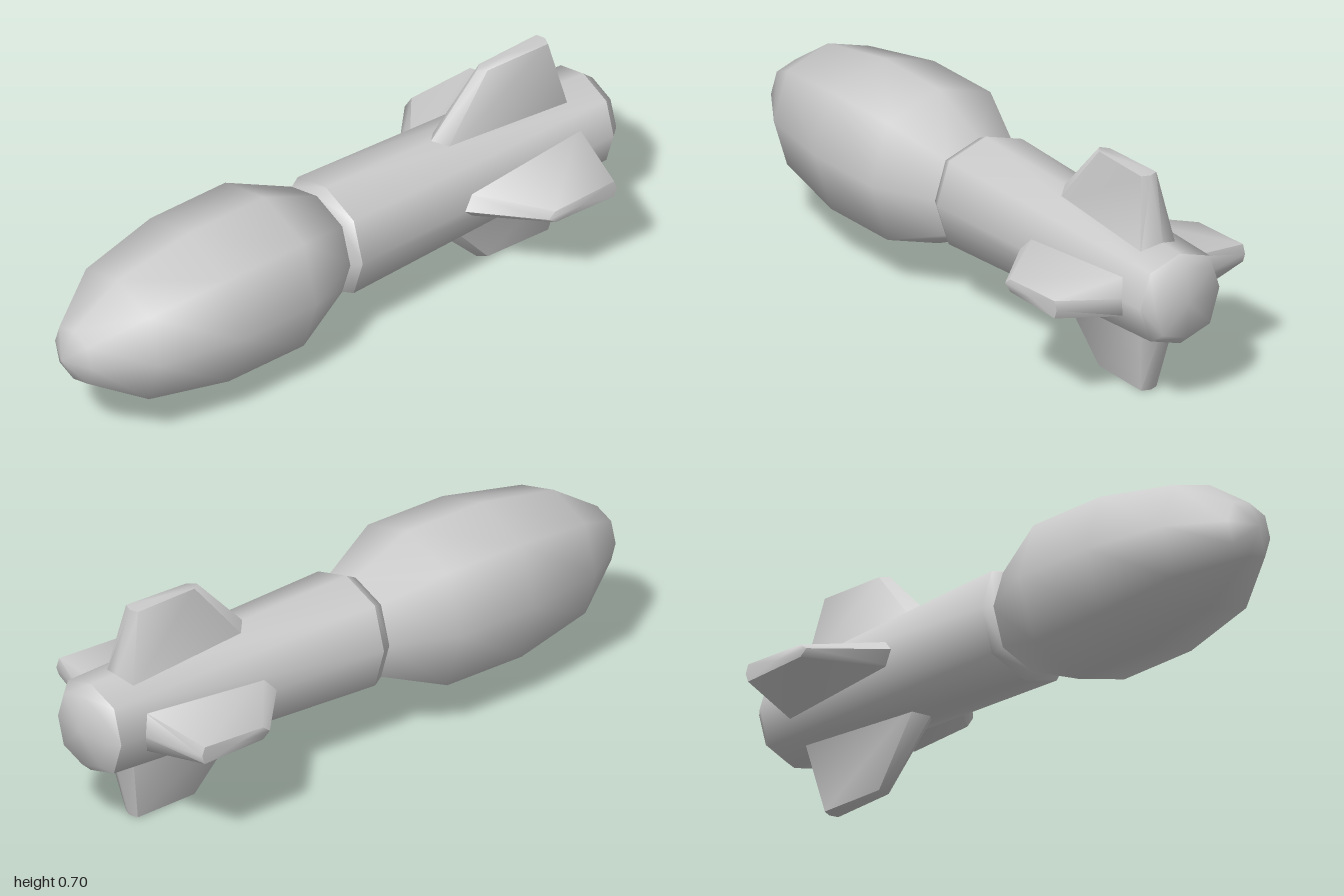
import * as THREE from 'three';
import { toCreasedNormals } from 'three/addons/utils/BufferGeometryUtils.js';

const material = new THREE.MeshStandardMaterial({ color: 0xcccccc, side: THREE.DoubleSide });

// Skin a list of equal-length rings; optional caps close the first and last ring.
function loft(name, rings, capStart, capEnd) {
  const n = rings[0].length;
  const pos = rings.flat(2);
  const index = [];
  for (let i = 0; i < rings.length - 1; i++) {
    for (let j = 0; j < n; j++) {
      const k = (j + 1) % n;
      const a = i * n + j, b = i * n + k, c = b + n, d = a + n;
      index.push(a, b, c, a, c, d);
    }
  }
  const cap = (ring, first, center, flip) => {
    const c = pos.length / 3;
    pos.push(...center);
    for (let j = 0; j < n; j++) {
      const a = first + j, b = first + (j + 1) % n;
      if (flip) index.push(c, b, a); else index.push(c, a, b);
    }
  };
  if (capStart) cap(rings[0], 0, capStart, true);
  if (capEnd) cap(rings.at(-1), (rings.length - 1) * n, capEnd, false);
  const g = new THREE.BufferGeometry();
  g.setAttribute('position', new THREE.Float32BufferAttribute(pos, 3));
  g.setIndex(index);
  const mesh = new THREE.Mesh(toCreasedNormals(g, 1.2), material);
  mesh.name = name;
  return mesh;
}

// Eight-sided ring around z, slightly fuller on the diagonals.
function octagon(z, r) {
  return Array.from({ length: 8 }, (_, j) => {
    const a = j * Math.PI / 4, s = j % 2 ? r * 1.07 : r;
    return [s * Math.cos(a), s * Math.sin(a), z];
  });
}
const octagons = (profile) => profile.map(([z, r]) => octagon(z, r));

// Six-sided fin section at height y: pointed leading and trailing ends.
function finSection(y, front, frontX, frontZ, rearX, rearZ, rear) {
  return [
    [0, y, front], [frontX, y, frontZ], [rearX, y, rearZ],
    [0, y, rear], [-rearX, y, rearZ], [-frontX, y, frontZ],
  ];
}

export function createModel() {
  const model = new THREE.Group();
  model.name = 'rocket';

  // Bulging warhead
  const head = octagons([[0.03, 0.155], [0.24, 0.25], [0.52, 0.25], [0.79, 0.2], [0.955, 0.088]]);
  model.add(loft('warhead', head, [0, 0, 0.03], [0, 0, 1]));

  // Tapered motor tube with chamfered collar and domed tail
  model.add(loft('collar', octagons([[0.01, 0.178], [0.045, 0.16]]), null, [0, 0, 0.045]));
  model.add(loft('motorTube', octagons([[-0.955, 0.145], [0.01, 0.178]])));
  model.add(loft('tailCap', octagons([[-0.988, 0.115], [-0.955, 0.145]]), [0, 0, -1]));

  // Four fins around the tail
  for (let k = 0; k < 4; k++) {
    const fin = new THREE.Group();
    fin.name = 'fin' + (k + 1);
    const root = finSection(0.11, -0.333, 0.044, -0.388, 0.066, -0.848, -0.876);
    const tip = finSection(0.347, -0.555, 0.02, -0.58, 0.028, -0.8, -0.81);
    fin.add(loft('finBlade', [root, tip], null, [0, 0.35, -0.69]));
    fin.rotation.z = k * Math.PI / 2;
    model.add(fin);
  }

  for (const part of model.children) part.position.y = 0.35;
  return model;
}
